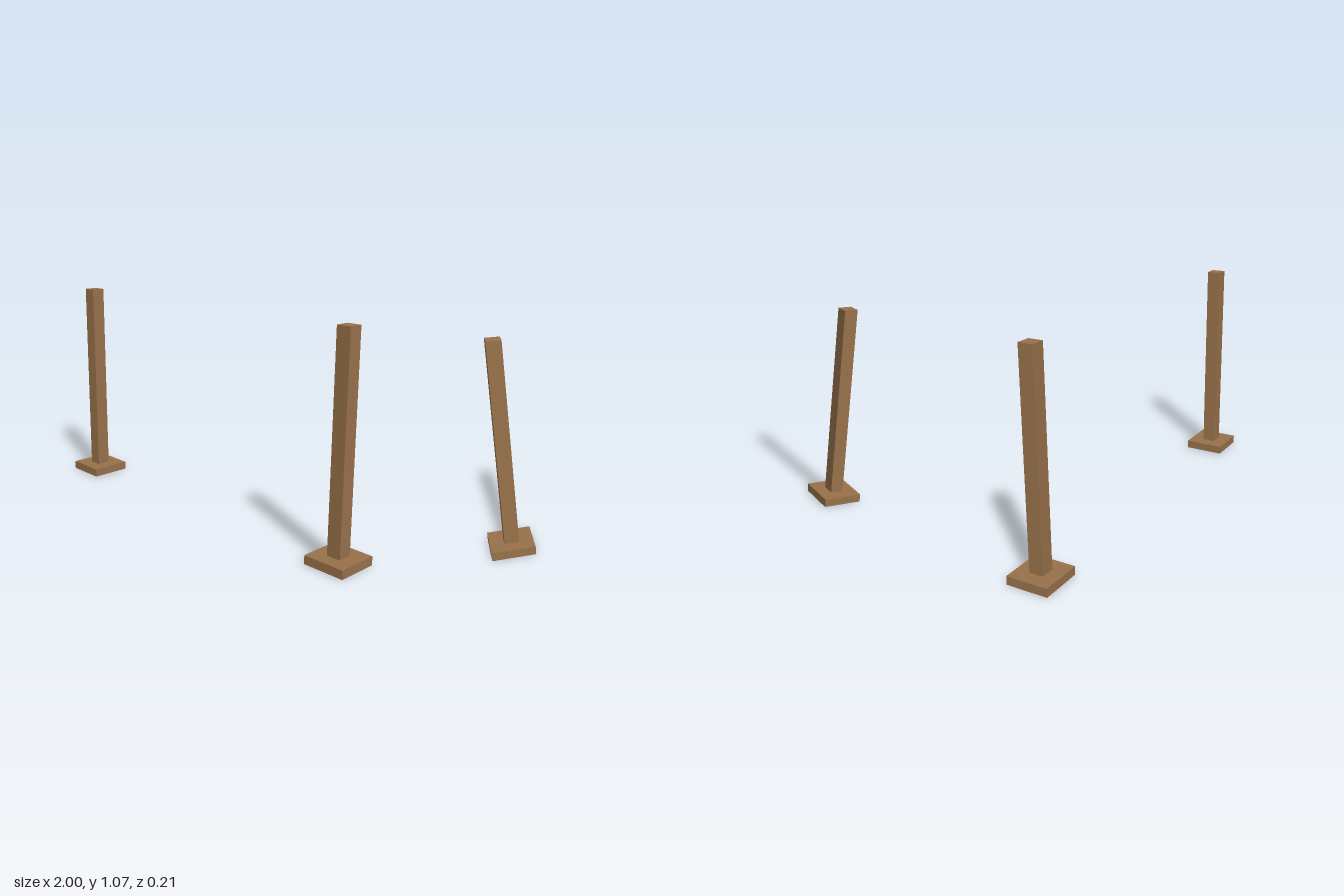
import * as THREE from 'three';

export function createModel() {
  const model = new THREE.Group();
  const wood = new THREE.MeshStandardMaterial({ color: 0x97714a });
  wood.name = 'brownWood';

  const baseSize = 0.212, baseHeight = 0.043;
  const postSize = 0.071, topHeight = 1.072;

  // Box standing on height y
  const block = (name, size, height, y) => {
    const mesh = new THREE.Mesh(new THREE.BoxGeometry(size, height, size), wood);
    mesh.name = name;
    mesh.position.y = y + height / 2;
    return mesh;
  };

  // A matching pair of posts, each on a square foot plate
  for (const [side, sign] of [['left', 1], ['right', -1]]) {
    const stand = new THREE.Group();
    stand.name = side + 'Stand';
    stand.position.x = sign * (1 - baseSize / 2);
    stand.add(
      block(side + 'Base', baseSize, baseHeight, 0),
      block(side + 'Post', postSize, topHeight - baseHeight, baseHeight)
    );
    model.add(stand);
  }
  return model;
}
